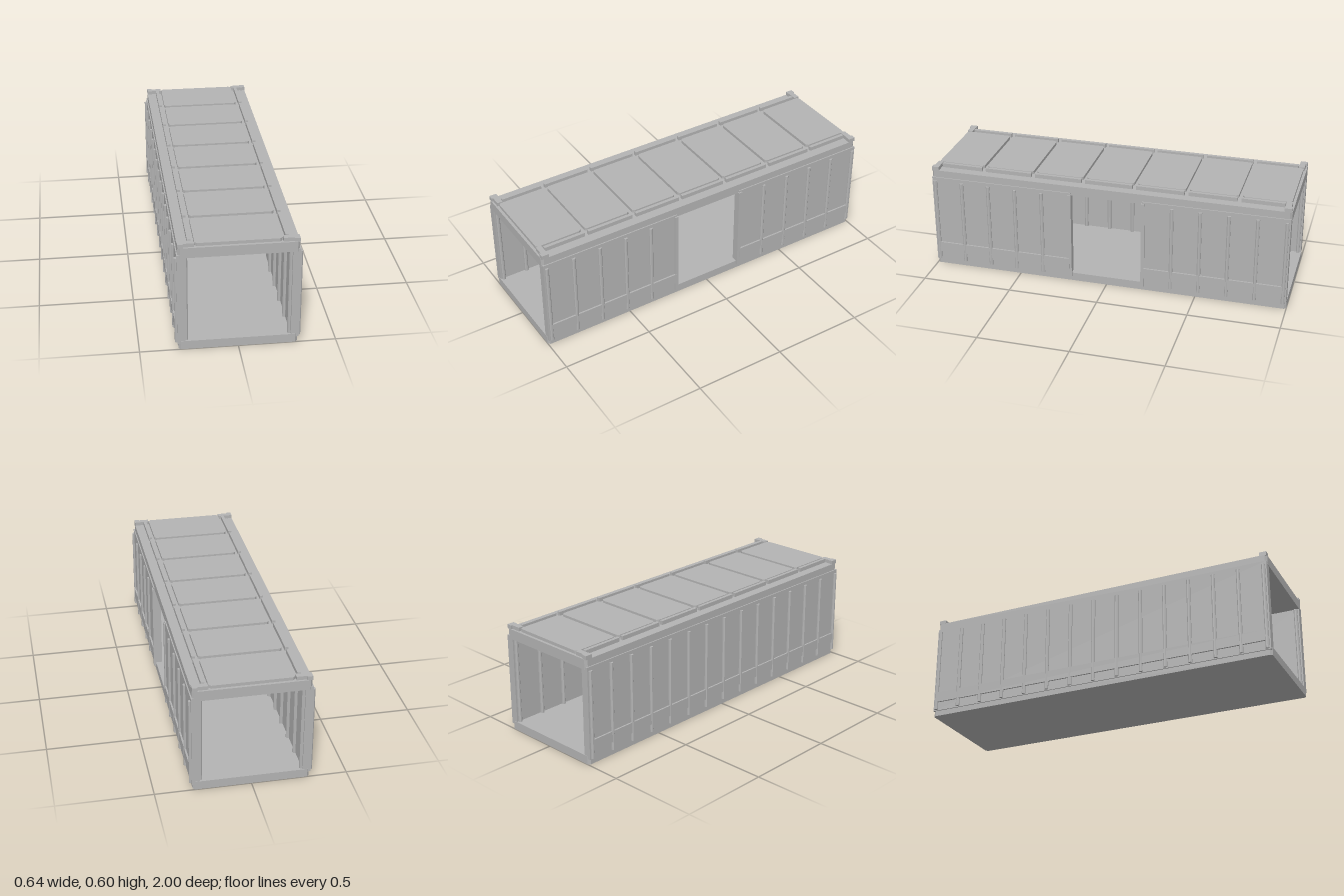
import * as THREE from 'three';

export function createModel() {
  const group = new THREE.Group();
  const steel = new THREE.MeshStandardMaterial({ color: 0xb3b3b3 });
  steel.name = 'grey steel';

  const add = (geometry, name) => {
    const mesh = new THREE.Mesh(geometry, steel);
    mesh.name = name;
    group.add(mesh);
    return mesh;
  };
  // Box given by its minimum and maximum on each axis
  const box = (name, x0, x1, y0, y1, z0, z1) =>
    add(new THREE.BoxGeometry(x1 - x0, y1 - y0, z1 - z0), name)
      .position.set((x0 + x1) / 2, (y0 + y1) / 2, (z0 + z1) / 2);
  // Horizontal plate with cut corners
  const plate = (name, hx, hz, cut, y0, y1, z = 0) => {
    const outline = [
      [-hx + cut, -hz], [hx - cut, -hz], [hx, -hz + cut], [hx, hz - cut],
      [hx - cut, hz], [-hx + cut, hz], [-hx, hz - cut], [-hx, -hz + cut],
    ].map(([x, y]) => new THREE.Vector2(x, y));
    const geometry = new THREE.ExtrudeGeometry(new THREE.Shape(outline),
      { depth: y1 - y0, bevelEnabled: false });
    geometry.rotateX(-Math.PI / 2);
    add(geometry, name).position.set(0, y0, z);
  };
  // Upright eight-sided rib, half sunk in the wall
  const ribShape = new THREE.CylinderGeometry(0.0108, 0.0108, 1, 8).rotateY(Math.PI / 8)
    .toNonIndexed();
  ribShape.computeVertexNormals();
  const rib = (name, x, y0, y1, z) => {
    const mesh = add(ribShape, name);
    mesh.scale.y = y1 - y0;
    mesh.position.set(x, (y0 + y1) / 2, z);
  };

  // Shell: floor, roof and walls, open at both ends and at the side doorway
  plate('floor', 0.302, 1, 0.012, 0, 0.047);
  plate('roof', 0.302, 1, 0.012, 0.525, 0.58);
  box('rightWall', -0.308, -0.267, 0.03, 0.54, -0.998, 0.998);
  for (const s of [-1, 1]) {
    const [a, b] = s < 0 ? [-0.998, -0.2] : [0.2, 0.998];
    box('leftWall', 0.267, 0.308, 0.03, 0.54, a, b);
  }

  // Ribs outside and inside the unbroken wall
  for (let i = -7; i <= 7; i++) {
    rib('rightOuterRib', -0.31, 0.035, 0.52, i * 0.14);
    rib('rightInnerRib', -0.263, 0.04, 0.522, i * 0.14);
  }
  box('rightLowerStrip', -0.317, -0.305, 0.08, 0.14, -0.98, 0.98);

  // Ribs, strips and door posts on the doorway wall
  for (const s of [-1, 1]) {
    for (let i = 0; i < 5; i++) {
      const z = s * (0.98 - i * 0.154);
      rib('leftOuterRib', 0.309, 0.035, 0.52, z);
      rib('leftInnerRib', 0.262, 0.04, 0.522, z);
    }
    const [a, b] = s < 0 ? [-0.98, -0.21] : [0.21, 0.98];
    box('leftLowerStrip', 0.305, 0.317, 0.08, 0.14, a, b);
    box('doorPost', 0.3, 0.315, 0.028, 0.53, s * 0.206 - 0.01, s * 0.206 + 0.01);
  }

  // Roof: seven raised panels with a rail on each side
  const pitch = 0.285;
  for (let i = -3; i <= 3; i++) {
    const end = Math.abs(i) === 3;
    const z0 = i === -3 ? -0.985 : (i - 0.5) * pitch + 0.011;
    const z1 = i === 3 ? 0.985 : (i + 0.5) * pitch - 0.011;
    plate('roofPanel', 0.217, (z1 - z0) / 2, 0.012, 0.578, 0.597, (z0 + z1) / 2);
    const r0 = end && i < 0 ? -0.955 : z0;
    const r1 = end && i > 0 ? 0.955 : z1;
    for (const s of [-1, 1])
      box('roofRail', s * 0.242 - 0.009, s * 0.242 + 0.009, 0.578, 0.602, r0, r1);
  }

  // Corner blocks on the roof, each an L of two bars
  for (const sx of [-1, 1]) for (const sz of [-1, 1]) {
    box('cornerBlock', sx * 0.26 - 0.04, sx * 0.26 + 0.04, 0.578, 0.6,
      sz * 0.975 - 0.015, sz * 0.975 + 0.015);
    box('cornerFitting', sx * 0.288 - 0.014, sx * 0.288 + 0.014, 0.578, 0.6,
      sz * 0.978 - 0.02, sz * 0.978 + 0.02);
  }
  return group;
}
